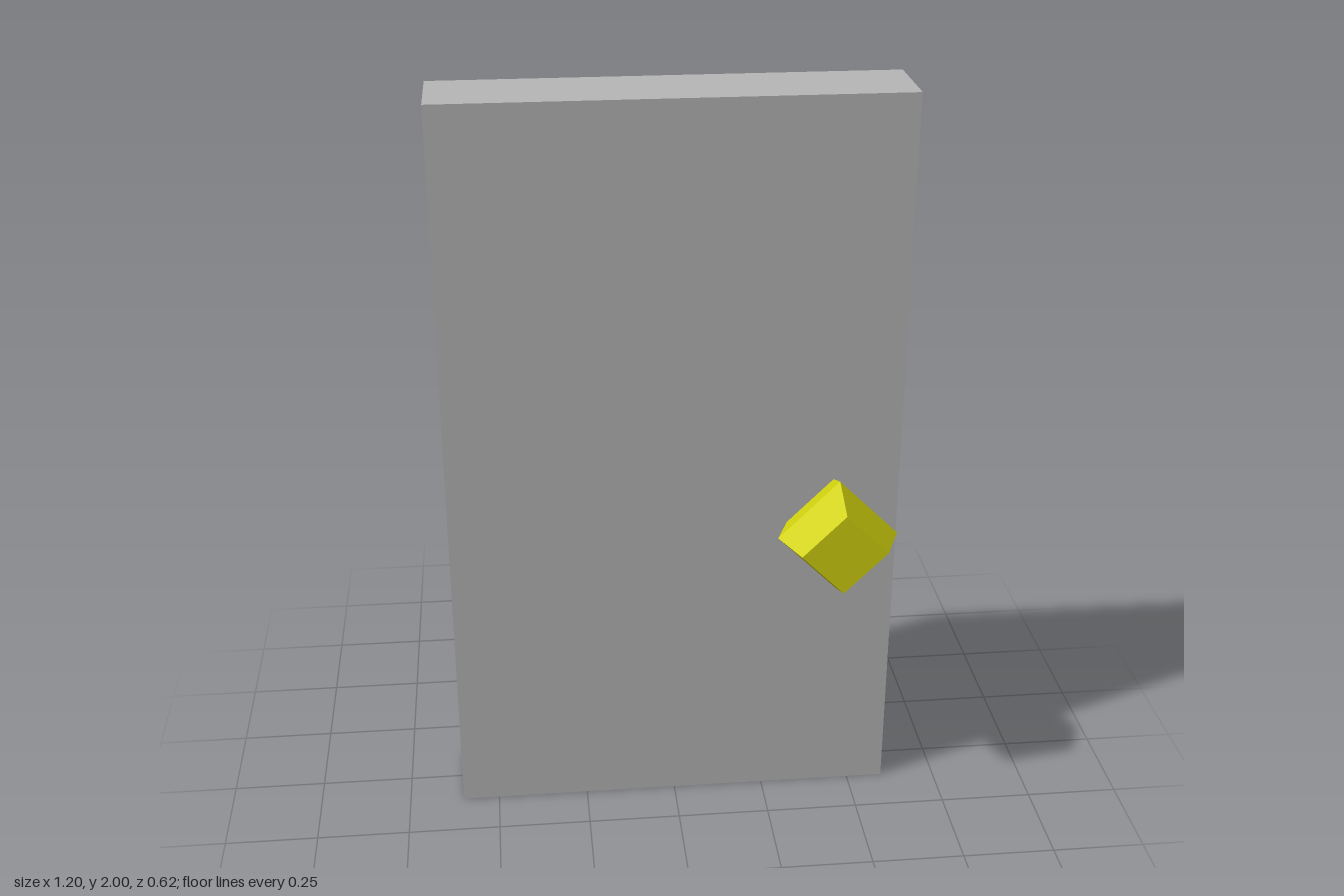
import * as THREE from 'three';

export function createModel() {
  const model = new THREE.Group();
  model.name = 'door';

  const panelGrey = new THREE.MeshStandardMaterial({ color: 0xb6b6b6, flatShading: true });
  panelGrey.name = 'panel grey';
  const knobYellow = new THREE.MeshStandardMaterial({ color: 0xd2d20e, flatShading: true });
  knobYellow.name = 'knob yellow';

  // Door slab
  const panel = new THREE.Mesh(new THREE.BoxGeometry(1.2, 2, 0.226), panelGrey);
  panel.name = 'panel';
  panel.position.set(0, 1, -0.002);
  model.add(panel);

  // Four-sided knobs, widest in the middle, half sunk into each face
  const profile = [[0, -0.11], [0.113, -0.11], [0.159, 0], [0.113, 0.11], [0, 0.11]]
    .map(([r, y]) => new THREE.Vector2(r, y));
  const knobGeometry = new THREE.LatheGeometry(profile, 4).rotateX(Math.PI / 2);
  for (const [name, z] of [['frontKnob', 0.2], ['backKnob', -0.2]]) {
    const knob = new THREE.Mesh(knobGeometry, knobYellow);
    knob.name = name;
    knob.position.set(0.424, 0.843, z);
    model.add(knob);
  }

  return model;
}
